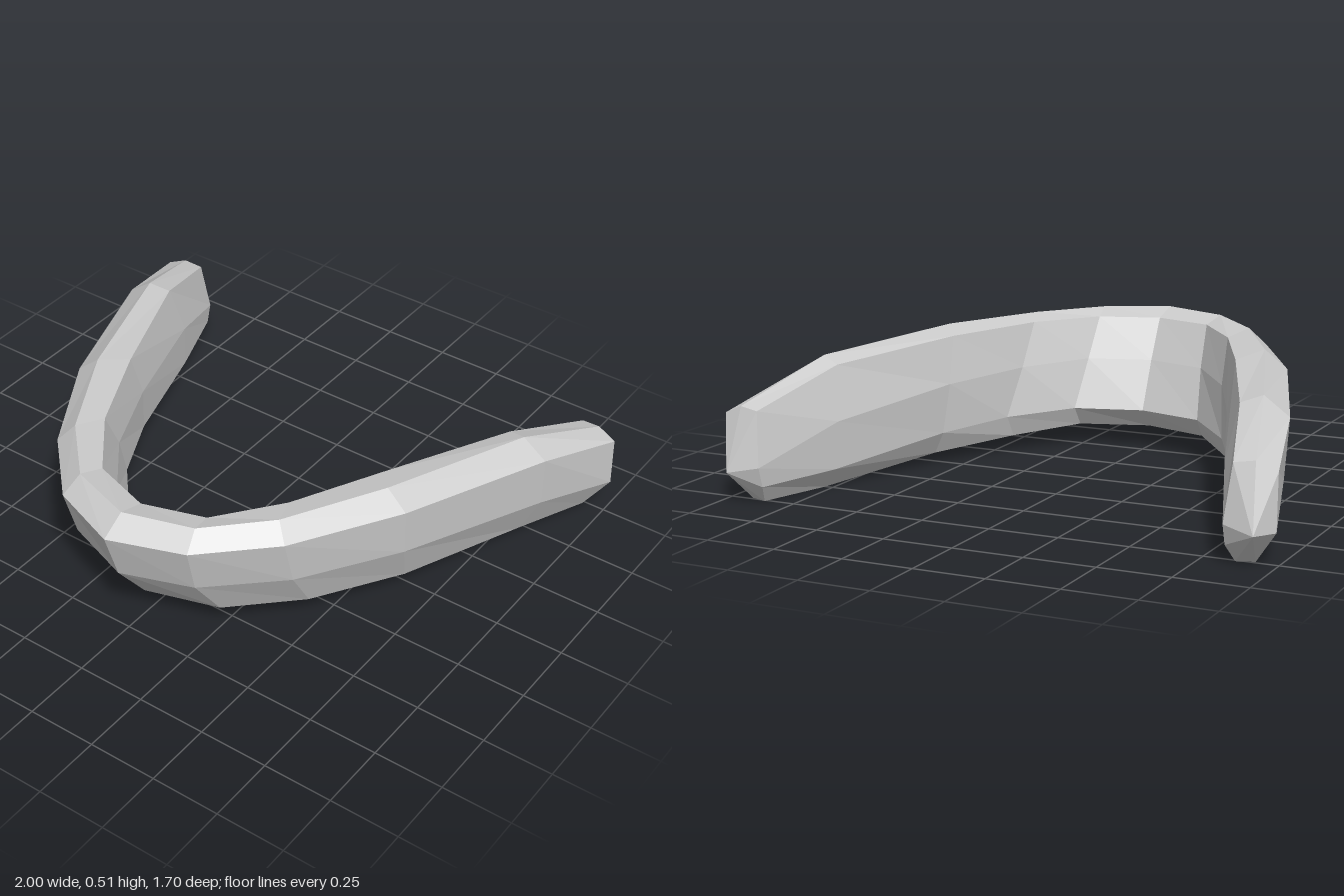
import * as THREE from 'three';

// Lengthwise edges of the band from the centre front to its left end, [x, y, z]
const rails = {
  outerTop: [[0, .455, .85], [.26, .45, .75], [.48, .44, .52], [.70, .43, .14], [.91, .39, -.42], [1, .30, -.77]],
  ridge: [[0, .51, .76], [.24, .505, .68], [.43, .50, .48], [.62, .495, .13], [.82, .455, -.42], [.93, .33, -.78]],
  innerTop: [[0, .48, .66], [.22, .48, .59], [.39, .48, .37], [.55, .47, .03], [.75, .43, -.45], [.86, .32, -.79]],
  innerMid: [[0, .33, .58], [.23, .33, .51], [.40, .32, .29], [.54, .30, -.02], [.72, .24, -.50], [.84, .13, -.82]],
  innerLow: [[0, .15, .50], [.25, .15, .43], [.43, .14, .22], [.56, .12, -.04], [.73, .07, -.51], [.84, .06, -.80]],
  bottom: [[0, .08, .56], [.25, .08, .48], [.43, .06, .27], [.60, .04, -.03], [.78, 0, -.50], [.86, 0, -.76]],
  outerLow: [[0, .10, .66], [.26, .10, .58], [.47, .09, .36], [.65, .07, .04], [.82, .03, -.45], [.92, 0, -.74]],
  outerMid: [[0, .27, .79], [.25, .27, .70], [.48, .26, .47], [.69, .245, .12], [.90, .19, -.44], [1, .11, -.78]],
};
const tip = [.95, .11, -.85];
const mirror = ([x, y, z]) => [-x, y, z];

export function createModel() {
  const edges = Object.values(rails);
  const sides = edges.length;
  const half = edges[0].length;

  // Cross-sections from the right end, round the front, to the left end
  const rings = [];
  for (let i = 1 - half; i < half; i++) {
    rings.push(edges.map((rail) => (i < 0 ? mirror(rail[-i]) : rail[i])));
  }
  const positions = rings.flat(2);
  const index = [];
  const last = rings.length - 1;
  for (let i = 0; i < last; i++) {
    for (let j = 0; j < sides; j++) {
      const k = (j + 1) % sides;
      const a = i * sides + j, b = a + sides;
      const c = i * sides + k, d = c + sides;
      index.push(a, b, c, b, d, c);
    }
  }

  // Pointed end caps, fanned around each tip
  const rightTip = positions.length / 3;
  positions.push(...mirror(tip), ...tip);
  for (let j = 0; j < sides; j++) {
    const k = (j + 1) % sides;
    index.push(rightTip, j, k);
    index.push(rightTip + 1, last * sides + k, last * sides + j);
  }

  const geometry = new THREE.BufferGeometry();
  geometry.setAttribute('position', new THREE.Float32BufferAttribute(positions, 3));
  geometry.setIndex(index);
  geometry.computeVertexNormals();

  const band = new THREE.Mesh(
    geometry,
    new THREE.MeshStandardMaterial({ color: 0xcccccc, flatShading: true })
  );
  band.name = 'curvedBand';

  const model = new THREE.Group();
  model.name = 'curvedBandModel';
  model.add(band);
  return model;
}
